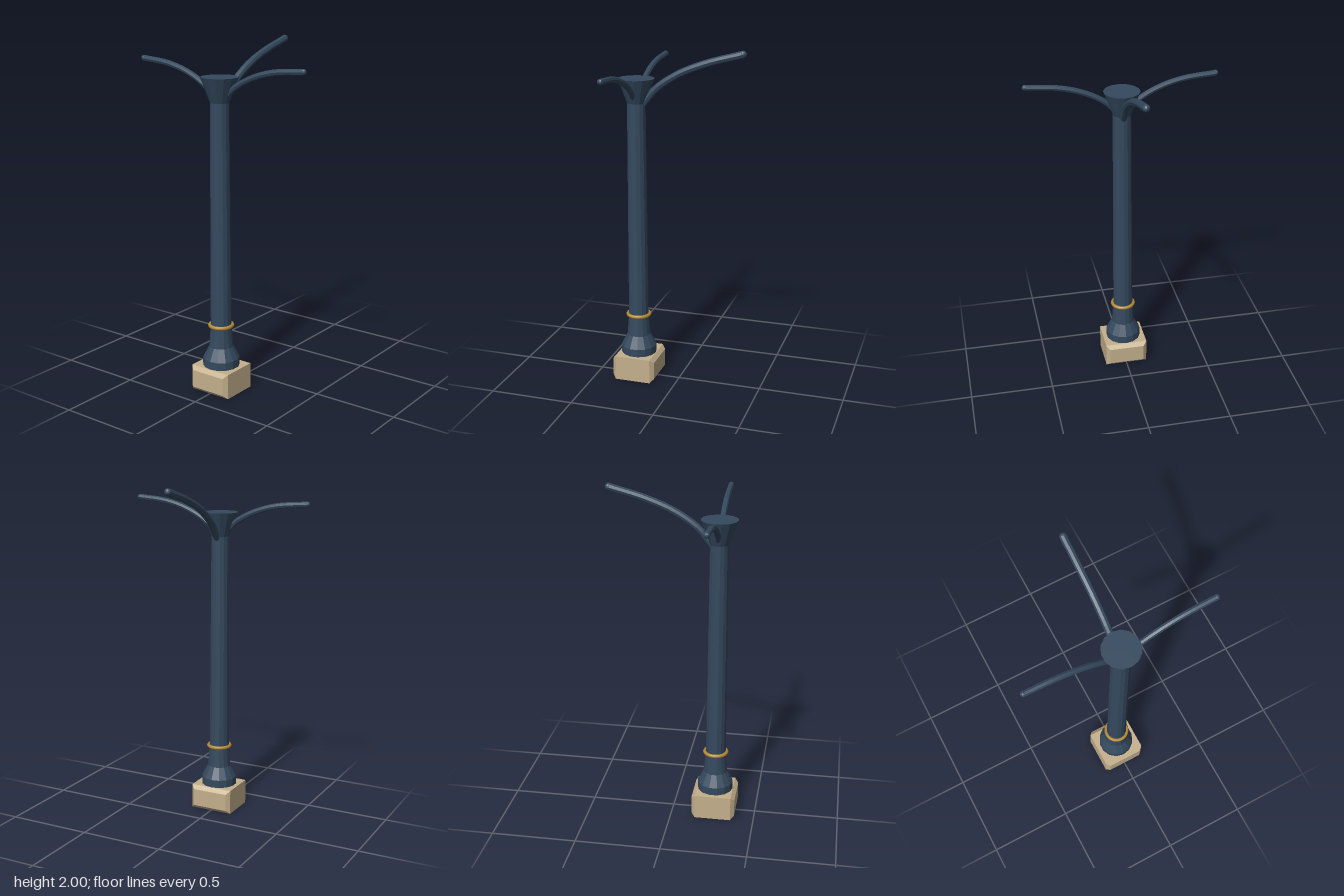
import * as THREE from 'three';

const CZ = 0.255; // column axis, set forward of the centre by the long rear arm

export function createModel() {
  const model = new THREE.Group();
  model.name = 'streetPost';
  const mat = (name, color, flatShading = false) => {
    const m = new THREE.MeshStandardMaterial({ color, flatShading });
    m.name = name;
    return m;
  };
  const blue = mat('slate blue paint', 0x34495e, true);
  const stone = mat('sandstone', 0xc4b08c, true);
  const gold = mat('brass', 0xb58a35);
  const add = (name, geometry, material, x, y, z, parent = model) => {
    const mesh = new THREE.Mesh(geometry, material);
    mesh.name = name;
    mesh.position.set(x, y, z);
    parent.add(mesh);
    return mesh;
  };

  // Stone plinth, chamfered on its front and back faces
  const b = 0.022, w = 0.108, h = 0.052;
  const face = new THREE.Shape([[-w, -h], [w, -h], [w, h], [-w, h]].map(p => new THREE.Vector2(...p)));
  const plinth = new THREE.ExtrudeGeometry(face, {
    depth: 0.216, bevelEnabled: true, bevelSize: b, bevelThickness: b, bevelSegments: 1,
  });
  add('plinth', plinth, stone, 0, 0.074, CZ - 0.108);

  // Column with flared foot and funnel-shaped head
  const profile = [
    [0, 0.147], [0.106, 0.147], [0.106, 0.195], [0.07, 0.265],
    [0.06, 0.39], [0.053, 1.68], [0.106, 1.82], [0, 1.82],
  ].map(p => new THREE.Vector2(...p));
  add('column', new THREE.LatheGeometry(profile, 14), blue, 0, 0, CZ);

  // Brass collar ring
  const ring = new THREE.TorusGeometry(0.065, 0.011, 8, 28);
  ring.rotateX(Math.PI / 2);
  add('collar', ring, gold, 0, 0.391, CZ);

  // Curved arms, each drawn outward along +x and turned into place
  const arm = (name, points, radius, angle) => {
    const group = new THREE.Group();
    group.name = name;
    group.position.z = CZ;
    group.rotation.y = angle;
    const curve = new THREE.CatmullRomCurve3(points.map(([x, y]) => new THREE.Vector3(x, y, 0)));
    add('armTube', new THREE.TubeGeometry(curve, 18, radius, 8), blue, 0, 0, 0, group);
    const [x, y] = points[points.length - 1];
    add('armTip', new THREE.SphereGeometry(radius, 10, 8), blue, x, y, 0, group);
    model.add(group);
  };
  const side = [[0.03, 1.69], [0.065, 1.735], [0.117, 1.778], [0.23, 1.834], [0.36, 1.869], [0.542, 1.886]];
  arm('leftArm', side, 0.017, 0);
  arm('rightArm', side, 0.017, Math.PI);
  const rear = [[0.03, 1.66], [0.065, 1.705], [0.12, 1.768], [0.25, 1.855], [0.41, 1.921], [0.619, 1.979]];
  arm('rearArm', rear, 0.021, Math.PI / 2);

  return model;
}
